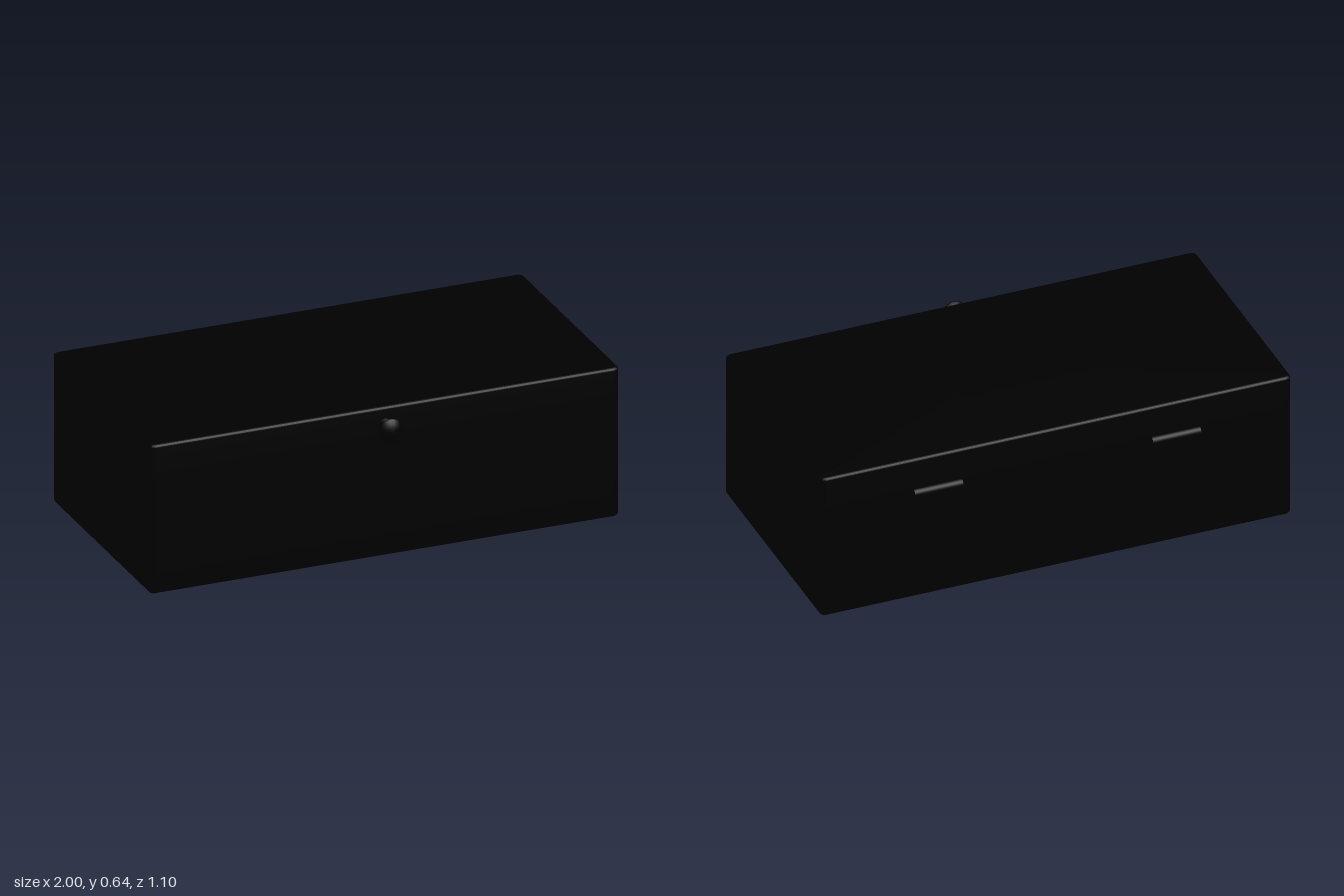
import * as THREE from 'three';
import { toCreasedNormals } from 'three/addons/utils/BufferGeometryUtils.js';

const HALF_X = 1, HALF_Z = 0.5, CORNER = 0.025, CENTRE_Z = -0.03, CORNER_STEPS = 6;
const material = new THREE.MeshStandardMaterial({ color: 0x000000 });

// Rounded rectangle at height y, moved in from the outline; inset null gives the centre point
function ring(inset, y) {
  const points = [];
  const r = inset === null ? 0 : Math.max(CORNER - inset, 0.003);
  for (let q = 0; q < 4; q++) {
    const sx = q === 0 || q === 3 ? 1 : -1, sz = q < 2 ? 1 : -1;
    for (let k = 0; k <= CORNER_STEPS; k++) {
      const a = (q + k / CORNER_STEPS) * Math.PI / 2;
      points.push(inset === null ? [0, y, 0] : [
        sx * (HALF_X - inset - r) + r * Math.cos(a), y,
        sz * (HALF_Z - inset - r) + r * Math.sin(a)]);
    }
  }
  return points;
}

// Skin joining the rings of an [inset, y] profile
function shell(profile) {
  const rings = profile.map(([inset, y]) => ring(inset, y));
  const positions = [];
  for (let i = 0; i < rings.length - 1; i++) {
    const n = rings[i].length;
    for (let j = 0; j < n; j++) {
      const a = rings[i][j], b = rings[i][(j + 1) % n];
      const c = rings[i + 1][j], d = rings[i + 1][(j + 1) % n];
      if (profile[i][0] !== null) positions.push(...a, ...c, ...b);
      if (profile[i + 1][0] !== null) positions.push(...b, ...c, ...d);
    }
  }
  const geometry = new THREE.BufferGeometry();
  geometry.setAttribute('position', new THREE.Float32BufferAttribute(positions, 3));
  return toCreasedNormals(geometry, 0.6);
}

// Quarter round from angle a0 to a1, for the edge of a profile
function roundEdge(radius, centreY, a0, a1) {
  return Array.from({ length: 6 }, (_, k) => {
    const a = a0 + (a1 - a0) * k / 5;
    return [radius - radius * Math.cos(a), centreY + radius * Math.sin(a)];
  });
}

export function createModel() {
  const model = new THREE.Group();
  model.name = 'hingedBox';
  const add = (name, geometry, x, y, z) => {
    const mesh = new THREE.Mesh(geometry, material);
    mesh.name = name;
    mesh.position.set(x, y, z);
    model.add(mesh);
    return mesh;
  };

  // Hollow base with a rounded bottom edge
  add('base', shell([
    [null, 0], ...roundEdge(0.02, 0.02, -Math.PI / 2, 0),
    [0, 0.484], [0.04, 0.484], [0.04, 0.04], [null, 0.04],
  ]), 0, 0, CENTRE_Z);

  // Hollow lid, a narrow gap above the base
  add('lid', shell([
    [null, 0.6], [0.04, 0.6], [0.04, 0.49], [0, 0.49],
    ...roundEdge(0.012, 0.628, 0, Math.PI / 2), [null, 0.64],
  ]), 0, 0, CENTRE_Z);

  // Turned knob on the front of the lid
  const knobProfile = [
    [0, 0], [0.032, 0], [0.029, 0.006], [0.025, 0.012], [0.024, 0.024], [0.025, 0.034],
    [0.03, 0.044], [0.041, 0.052], [0.051, 0.057], [0.052, 0.06],
    [0.048, 0.066], [0.034, 0.075], [0.018, 0.08], [0, 0.082],
  ].map(([r, h]) => new THREE.Vector2(r, h));
  add('knob', toCreasedNormals(new THREE.LatheGeometry(knobProfile, 32), 0.7), 0, 0.559, 0.468)
    .rotation.x = Math.PI / 2;

  // Two hinge barrels along the back seam
  for (const [side, name] of [[1, 'leftHinge'], [-1, 'rightHinge']]) {
    add(name, new THREE.CylinderGeometry(0.022, 0.022, 0.205, 24), side * 0.505, 0.482, -0.527)
      .rotation.z = Math.PI / 2;
  }
  return model;
}
